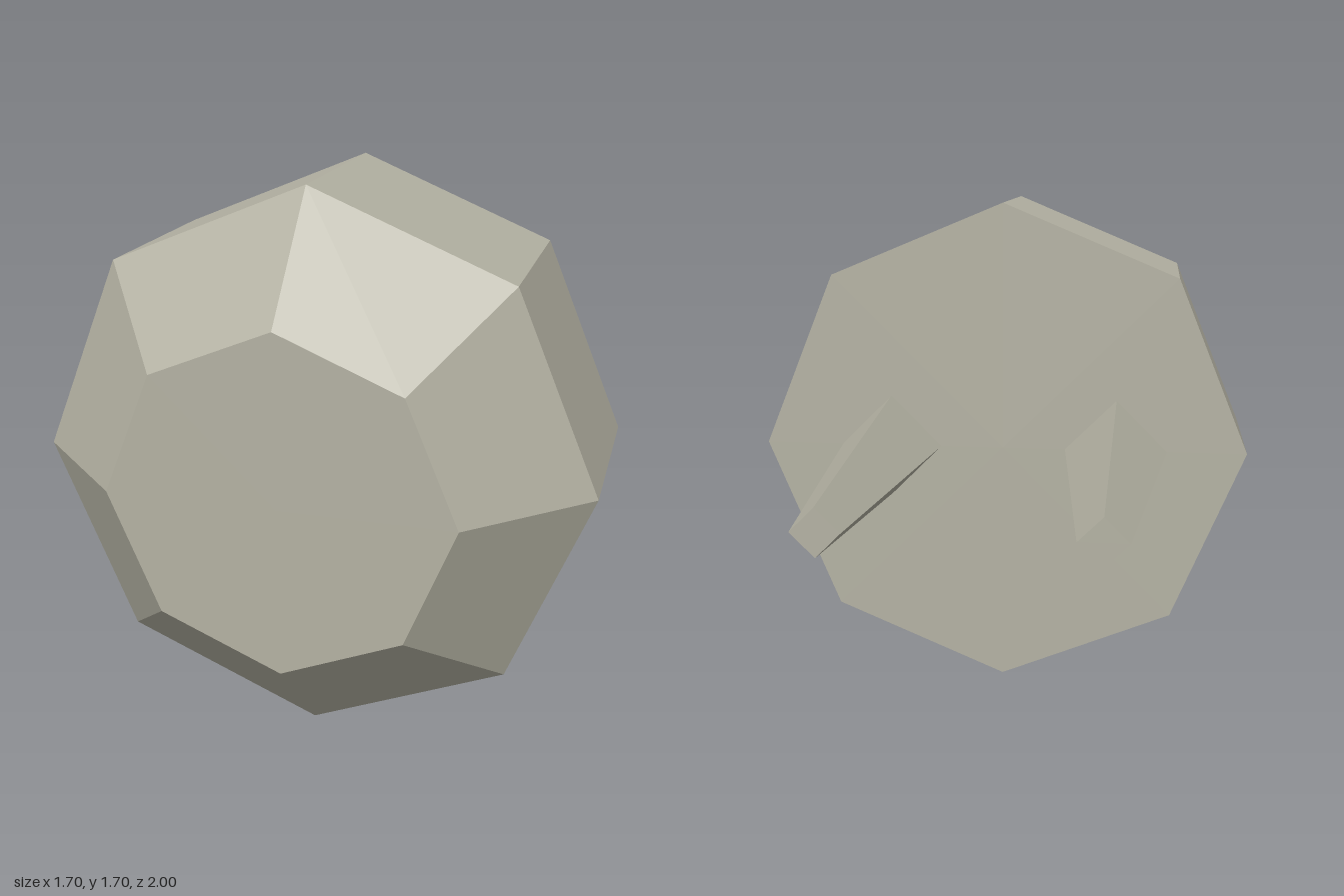
import * as THREE from 'three';

const CENTER_Y = 0.852;

export function createModel() {
  const model = new THREE.Group();
  const material = new THREE.MeshStandardMaterial({ color: 0xb4b2a3 });
  material.name = 'warm grey';
  material.flatShading = true;

  // Faceted section running along z, from zBack to zFront
  function section(name, sides, rFront, rBack, zFront, zBack, x = 0, open = false) {
    const geometry = new THREE.CylinderGeometry(rFront, rBack, zFront - zBack, sides, 1, open);
    geometry.rotateX(Math.PI / 2);
    const mesh = new THREE.Mesh(geometry, material);
    mesh.name = name;
    mesh.position.set(x, CENTER_Y, (zFront + zBack) / 2);
    model.add(mesh);
  }

  // Octagonal body: one profile swept round eight sides, closed at both ends
  const profile = [[0, 0.08], [0.852, 0.08], [0.852, 0.69], [0.515, 1], [0, 1]];
  const bodyGeometry = new THREE.LatheGeometry(profile.map(([r, z]) => new THREE.Vector2(r, z)), 8);
  bodyGeometry.rotateX(Math.PI / 2);
  const body = new THREE.Mesh(bodyGeometry, material);
  body.name = 'plugBody';
  body.position.y = CENTER_Y;
  model.add(body);

  // Two tapering diamond-section prongs at the back
  section('leftProng', 4, 0.178, 0.073, 0.08, -1, 0.398);
  section('rightProng', 4, 0.178, 0.073, 0.08, -1, -0.398);

  return model;
}
